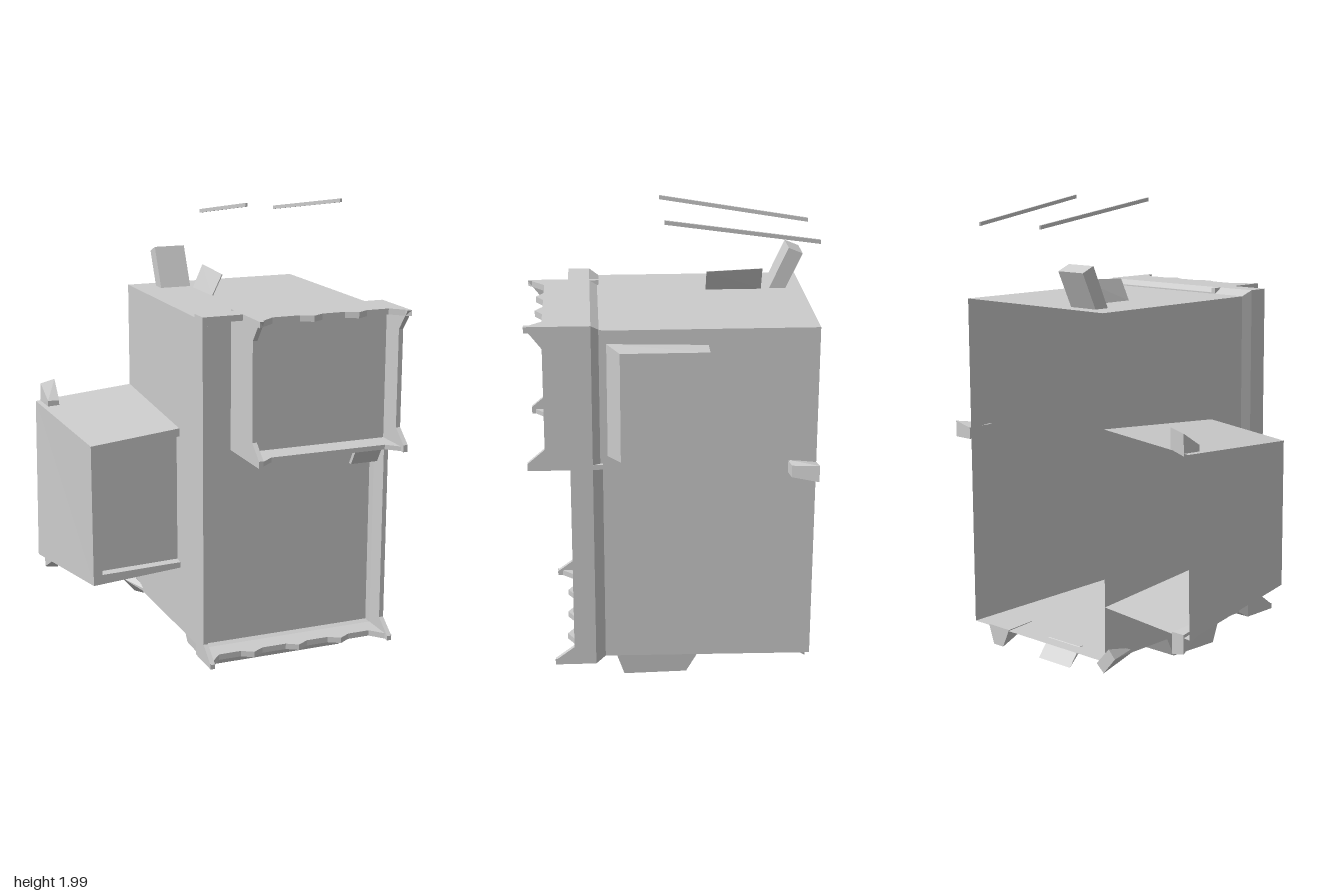
import * as THREE from 'three';
import { ConvexGeometry } from 'three/addons/geometries/ConvexGeometry.js';

const mat = new THREE.MeshStandardMaterial({ color: 0xcccccc, flatShading: true, side: THREE.DoubleSide });

export function createModel() {
  const model = new THREE.Group();

  const add = (name, geometry) => {
    const mesh = new THREE.Mesh(geometry, mat);
    mesh.name = name;
    model.add(mesh);
    return mesh;
  };

  // Solid block spanned by its corner points
  const hull = (name, pts) => add(name, new ConvexGeometry(pts.map(p => new THREE.Vector3(...p))));

  const box = (name, x0, x1, y0, y1, z0, z1) => {
    const g = new THREE.BoxGeometry(x1 - x0, y1 - y0, z1 - z0);
    g.translate((x0 + x1) / 2, (y0 + y1) / 2, (z0 + z1) / 2);
    return add(name, g);
  };

  // Skin over rings of four corners; skip leaves one side open, cap closes the last ring
  const loft = (name, rings, { skip = -1, cap = false } = {}) => {
    const pos = [];
    const quad = (a, b, c, d) => pos.push(...a, ...b, ...c, ...a, ...c, ...d);
    for (let r = 0; r < rings.length - 1; r++) {
      for (let i = 0; i < 4; i++) {
        if (i === skip) continue;
        const j = (i + 1) % 4;
        quad(rings[r][i], rings[r][j], rings[r + 1][j], rings[r + 1][i]);
      }
    }
    if (cap) quad(...rings[rings.length - 1]);
    const g = new THREE.BufferGeometry();
    g.setAttribute('position', new THREE.Float32BufferAttribute(pos, 3));
    g.computeVertexNormals();
    return add(name, g);
  };

  const extrude = (pts, depth) => new THREE.ExtrudeGeometry(
    new THREE.Shape(pts.map(p => new THREE.Vector2(...p))), { depth, bevelEnabled: false });

  // Upright plate drawn in (z, y), its +x face at x
  const wall = (name, x, pts, t = 0.02) =>
    add(name, extrude(pts, t).rotateY(-Math.PI / 2).translate(x, 0, 0));

  // Flat plate drawn in (x, z), its top at y
  const lip = (name, y, pts, t = 0.025) =>
    add(name, extrude(pts, t).rotateX(Math.PI / 2).translate(0, y, 0));

  const rect = (x0, x1, y0, y1, z) => [[x0, y0, z], [x1, y0, z], [x1, y1, z], [x0, y1, z]];

  // Main shell, open at the back and flared towards the front
  loft('bodyShell', [
    rect(-0.23, 0.58, 0.135, 1.575, -0.58),
    rect(-0.23, 0.58, 0.145, 1.575, 0.28),
    rect(-0.25, 0.6, 0.12, 1.6, 0.32),
  ]);
  loft('frontPanel', [rect(-0.23, 0.58, 0.145, 1.575, 0.279), rect(-0.23, 0.58, 0.145, 1.575, 0.28)], { cap: true });

  // Front rim with spiked corners and small teeth
  const teeth = (z, xs) => xs.flatMap(x => [[x - 0.05, z], [x, z + 0.03], [x + 0.05, z]]);
  const upperSide = [[0.58, 1.0], [0.58, 1.03], [0.51, 1.09], [0.51, 1.51], [0.58, 1.6]];
  const lowerSide = [[0.32, 0.12], [0.49, 0.12], [0.49, 0.14], [0.41, 0.2]];
  wall('rimLeft', 0.6, [...lowerSide, [0.41, 1.0], ...upperSide, [0.32, 1.6]]);
  wall('rimRight', -0.23, [...lowerSide, [0.41, 1.6], [0.32, 1.6]]);
  lip('rimTop', 1.6, [[-0.25, 0.32], [-0.25, 0.41], [-0.075, 0.41], [-0.075, 0.58], [0.01, 0.51],
    ...teeth(0.51, [0.18, 0.38]), [0.53, 0.51], [0.6, 0.58], [0.6, 0.32]]);
  lip('rimBottom', 0.145, [[-0.25, 0.32], [-0.25, 0.49], [-0.18, 0.41],
    ...teeth(0.41, [-0.03, 0.18, 0.38]), [0.53, 0.41], [0.6, 0.49], [0.6, 0.32]]);

  // Raised upper window
  wall('windowSide', -0.055, [[0.28, 1.0], ...upperSide, [0.28, 1.6]]);
  lip('windowSill', 1.02, [[-0.075, 0.28], [-0.075, 0.58], [0.01, 0.51], [0.53, 0.51], [0.6, 0.58], [0.6, 0.28]], 0.02);
  box('windowPanel', -0.06, 0.585, 1.01, 1.58, 0.28, 0.4);
  hull('sillBracket', [0.455, 0.58].flatMap(x => [[x, 1.0, 0.41], [x, 1.0, 0.39], [x, 0.9, 0.35], [x, 0.9, 0.33]]));

  // Side compartment, open at the back, with a recessed front
  loft('sideCompartment', [
    [[-0.69, 0.335, -0.58], [-0.23, 0.37, -0.58], [-0.23, 1.11, -0.58], [-0.68, 1.07, -0.58]],
    [[-0.625, 0.4, 0.08], [-0.23, 0.43, 0.08], [-0.23, 1.06, 0.08], [-0.625, 1.02, 0.08]],
    [[-0.585, 0.445, 0.08], [-0.23, 0.455, 0.08], [-0.23, 1.025, 0.08], [-0.585, 0.98, 0.08]],
    [[-0.58, 0.45, 0.045], [-0.23, 0.46, 0.045], [-0.23, 1.02, 0.045], [-0.58, 0.975, 0.045]],
  ], { skip: 1, cap: true });

  // Wedge-fronted box on the left side
  hull('sideBox', [1.05, 1.52].flatMap((y, i) => {
    const outer = y + (i ? -0.01 : 0.01);
    return [[0.58, y, 0.26], [0.58, outer, -0.14], [0.675, outer, 0.21], [0.675, outer, -0.14]];
  }));

  // Tapered foot under the body
  hull('foot', [
    ...rect(-0.15, 0.5, 0.14, 0.14, 0.245), ...rect(-0.15, 0.5, 0.14, 0.14, -0.135),
    ...rect(-0.145, 0.49, 0.005, 0.005, 0.2), ...rect(-0.145, 0.49, 0.01, 0.01, -0.065),
  ]);

  // Leaning chimney and slanted fin on the roof
  hull('chimney', [-0.12, 0.02].flatMap(x =>
    [[x, 1.575, -0.44], [x, 1.575, -0.51], [x, 1.725, -0.58], [x, 1.75, -0.52]]));
  hull('roofFin', [[-0.17, 1.665], [-0.405, 1.675]].flatMap(([z, y]) =>
    [[0.02, 1.575, z], [0.025, 1.575, z], [0.07, y, z], [0.065, y, z]]));

  // Two thin floating rods
  for (const [x0, x1] of [[0.125, 0.097], [0.493, 0.54]]) {
    hull('roofRod', [[x0, 1.895, -0.58], [x1, 1.99, 0.03]].flatMap(([x, y, z]) =>
      [[x - 0.005, y - 0.008, z], [x + 0.005, y - 0.008, z], [x + 0.005, y + 0.008, z], [x - 0.005, y + 0.008, z]]));
  }

  // Small hooks around the back edge
  hull('hookLeft', [[0.57, 0.965, -0.465], [0.57, 1.015, -0.465], [0.635, 0.965, -0.475], [0.635, 1.015, -0.475],
    [0.59, 0.96, -0.58], [0.59, 1.01, -0.58], [0.68, 0.96, -0.58], [0.68, 1.03, -0.58]]);
  hull('hookCompartmentTop', [[-0.65, 1.05, -0.48], [-0.6, 1.05, -0.475], [-0.65, 1.09, -0.48], [-0.6, 1.09, -0.475],
    [-0.66, 1.06, -0.58], [-0.59, 1.08, -0.58], [-0.655, 1.15, -0.58], [-0.59, 1.165, -0.58]]);
  hull('hookCompartmentBottom', [[-0.65, 0.36, -0.48], [-0.61, 0.36, -0.475], [-0.65, 0.33, -0.48],
    [-0.66, 0.35, -0.58], [-0.6, 0.35, -0.58], [-0.66, 0.27, -0.58], [-0.6, 0.26, -0.58]]);
  hull('hookCorner', [[-0.22, 0.15, -0.4], [-0.22, 0.135, -0.4], [-0.2, 0.135, -0.4],
    [-0.25, 0.195, -0.58], [-0.285, 0.16, -0.58], [-0.22, 0.085, -0.58], [-0.18, 0.12, -0.58]]);
  hull('hookBottom', [[0.38, 0.14, -0.42], [0.46, 0.14, -0.42],
    [0.36, 0.14, -0.58], [0.49, 0.14, -0.58], [0.4, 0.055, -0.58], [0.46, 0.055, -0.58]]);
  hull('tabBottom', [-0.02, 0.17].flatMap(x =>
    [[x, 0.138, -0.5], [x, 0.138, -0.52], [x, 0.07, -0.57], [x, 0.06, -0.58]]));

  return model;
}
